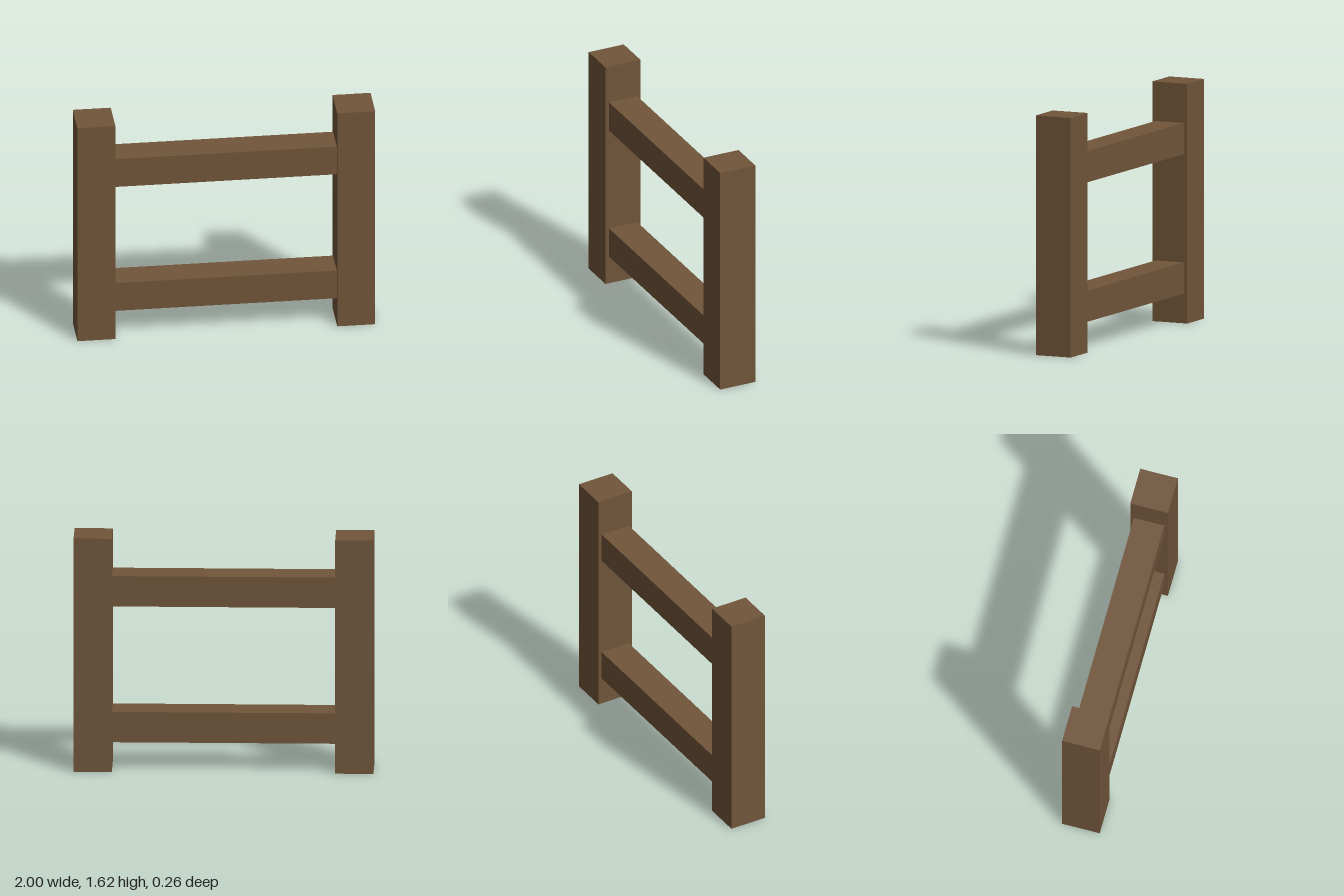
import * as THREE from 'three';

export function createModel() {
  const model = new THREE.Group();
  model.name = 'fence';

  const wood = new THREE.MeshStandardMaterial({ color: 0x70553a });
  wood.name = 'brown wood';

  const beam = (name, width, height, depth, x, bottom) => {
    const mesh = new THREE.Mesh(new THREE.BoxGeometry(width, height, depth), wood);
    mesh.name = name;
    mesh.position.set(x, bottom + height / 2, 0);
    model.add(mesh);
  };

  // Upright posts at both ends
  const postWidth = 0.255;
  for (const [name, side] of [['leftPost', 1], ['rightPost', -1]]) {
    beam(name, postWidth, 1.615, 0.26, side * (1 - postWidth / 2), 0);
  }

  // Horizontal rails spanning between the posts
  const span = 2 - 2 * postWidth;
  for (const [name, bottom] of [['lowerRail', 0.2], ['upperRail', 1.14]]) {
    beam(name, span, 0.21, 0.21, 0, bottom);
  }

  return model;
}
